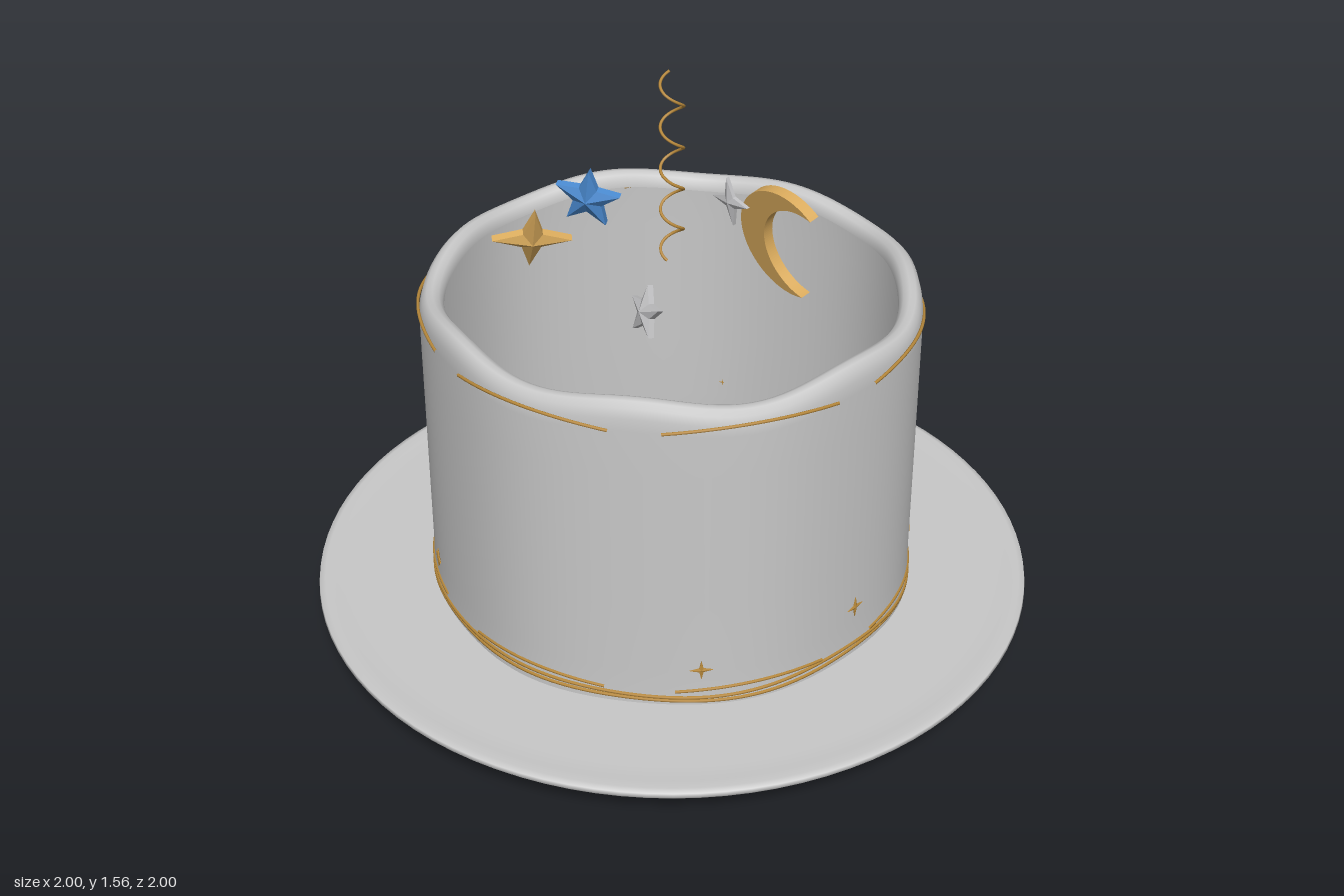
import * as THREE from 'three';
import { mergeVertices } from 'three/addons/utils/BufferGeometryUtils.js';

const mat = (name, color, side = THREE.FrontSide) => {
  const m = new THREE.MeshStandardMaterial({ color, side });
  m.name = name;
  return m;
};

// Plan outline of the cake: nearly round with soft lobes
const LOBES = 7;
const lobe = (a) => Math.cos(LOBES * (a - Math.PI / 2));
const wallRadius = (a, y) => 0.667 - 0.006 * y + 0.005 * lobe(a);

// Faceted star with raised centres on both faces
function starGeometry(points, outer, inner, half) {
  const pos = [];
  const n = points * 2;
  const corner = (i) => {
    const a = Math.PI / 2 + (i % n) * Math.PI / points;
    const r = i % 2 ? inner : outer;
    return [r * Math.cos(a), r * Math.sin(a)];
  };
  const e = half * 0.35;
  for (let i = 0; i < n; i++) {
    const [ax, ay] = corner(i), [bx, by] = corner(i + 1);
    pos.push(0, 0, half, ax, ay, e, bx, by, e);
    pos.push(0, 0, -half, bx, by, -e, ax, ay, -e);
    pos.push(ax, ay, -e, bx, by, -e, bx, by, e);
    pos.push(ax, ay, -e, bx, by, e, ax, ay, e);
  }
  const g = new THREE.BufferGeometry();
  g.setAttribute('position', new THREE.Float32BufferAttribute(pos, 3));
  g.computeVertexNormals();
  return g;
}

export function createModel() {
  const root = new THREE.Group();
  const icing = mat('pale grey icing', 0xc8c8c8, THREE.DoubleSide);
  const plateGrey = mat('plate grey', 0xc8c8c8);
  const gold = mat('gold', 0xd9aa5c);
  const trimGold = mat('trim gold', 0xb98a3c);
  const blue = mat('blue', 0x4a8ad0);
  const silver = mat('silver', 0xc0c0c2);

  const add = (name, geometry, material, p = [0, 0, 0], r = [0, 0, 0]) => {
    const m = new THREE.Mesh(geometry, material);
    m.name = name;
    m.position.set(...p);
    m.rotation.set(r[0], r[1], r[2], 'YXZ');
    root.add(m);
    return m;
  };

  // Plate with a sloping underside and rounded edge
  const plate = [[0, 0], [0.595, 0], [0.605, 0.001], [0.8, 0.033], [0.955, 0.062], [0.985, 0.074],
    [0.998, 0.088], [0.996, 0.099], [0.98, 0.103], [0.95, 0.1], [0.9, 0.097], [0, 0.096]];
  add('plate', new THREE.LatheGeometry(plate.map(([x, y]) => new THREE.Vector2(x, y)), 96), plateGrey);

  // Open cake shell whose wavy rim rolls inward; x is the offset from the wall
  const shell = [[0.003, 0.095], [0.002, 0.12], [0, 0.2], [0, 0.4], [0, 0.6], [0, 0.8], [0, 0.92],
    [-0.002, 0.95], [-0.009, 0.974], [-0.022, 0.988], [-0.038, 0.99], [-0.054, 0.982], [-0.064, 0.968], [-0.066, 0.95]];
  const body = new THREE.LatheGeometry(shell.map(([x, y]) => new THREE.Vector2(1 + x, y)), 140);
  const p = body.attributes.position;
  for (let i = 0; i < p.count; i++) {
    const x = p.getX(i), y = p.getY(i), z = p.getZ(i);
    const a = Math.atan2(z, x);
    const r = wallRadius(a, y) + Math.hypot(x, z) - 1;
    const rim = THREE.MathUtils.smoothstep(y, 0.85, 0.98);
    const wave = -0.011 * lobe(a) - 0.004 * Math.sin(3 * a);
    p.setXYZ(i, r * Math.cos(a), y + rim * wave, r * Math.sin(a));
  }
  body.deleteAttribute('uv');
  body.deleteAttribute('normal');
  const bodyGeo = mergeVertices(body, 1e-4);
  bodyGeo.computeVertexNormals();
  add('cakeShell', bodyGeo, icing);

  // Gold piping that hugs the wall between two angles
  const piping = (name, a0, a1, yAt, radius) => {
    const pts = [];
    const steps = Math.ceil((a1 - a0) / 0.06);
    for (let i = 0; i <= steps; i++) {
      const t = i / steps, a = a0 + (a1 - a0) * t, y = yAt(t, a);
      const r = wallRadius(a, y) + 0.002;
      pts.push(new THREE.Vector3(r * Math.cos(a), y, r * Math.sin(a)));
    }
    add(name, new THREE.TubeGeometry(new THREE.CatmullRomCurve3(pts), steps * 2, radius, 6), trimGold);
  };
  for (let i = 0; i < LOBES; i++) {
    const mid = Math.PI / 2 + i * 2 * Math.PI / LOBES;
    piping('rimPiping', mid - 0.35, mid + 0.35, (t) => 0.926 + 0.019 * Math.sin(Math.PI * t), 0.0045);
    piping('basePipingArc', mid - 0.32, mid + 0.3, (t) => 0.138 + 0.013 * Math.sin(Math.PI * t), 0.0045);
  }
  piping('basePipingUpper', 0, 2 * Math.PI, (t, a) => 0.125 + 0.006 * Math.sin(5 * a), 0.005);
  piping('basePipingLower', 0, 2 * Math.PI, (t, a) => 0.112 + 0.004 * Math.cos(4 * a), 0.005);

  // Small sparkles around the foot of the wall: angle in degrees, height
  const sparkle = starGeometry(4, 0.03, 0.008, 0.004);
  const spots = [[10, 0.25], [50, 0.21], [130, 0.21], [170, 0.25], [210, 0.21], [250, 0.25], [290, 0.25], [330, 0.21]];
  for (const [deg, y] of spots) {
    const a = THREE.MathUtils.degToRad(deg), r = wallRadius(a, y) + 0.003;
    add('sparkle', sparkle, trimGold, [r * Math.cos(a), y, r * Math.sin(a)], [0, Math.PI / 2 - a, 0]);
  }

  // Floating star toppers
  add('blueStar', starGeometry(5, 0.094, 0.042, 0.03), blue, [-0.315, 1.105, -0.065], [0.2, 0.33, -0.12]);
  add('goldStar', starGeometry(4, 0.104, 0.036, 0.028), gold, [-0.28, 1.123, 0.232], [0.42, 0.72, -0.08]);
  add('silverStarFront', starGeometry(5, 0.068, 0.031, 0.022), silver, [0.157, 1.1, 0.35], [-0.25, -0.5, 0.15]);
  add('silverStarBack', starGeometry(4, 0.068, 0.022, 0.014), silver, [0.163, 1.245, -0.025], [0.1, -0.3, 0.1]);

  // Crescent moon
  const moon = new THREE.Shape();
  moon.absarc(0, 0, 0.155, 1.073, 2 * Math.PI - 1.073, false);
  moon.absarc(0.064, 0, 0.1365, 2 * Math.PI - 1.497, 1.497, true);
  const moonGeo = new THREE.ExtrudeGeometry(moon, { depth: 0.03, bevelEnabled: false, curveSegments: 36 });
  moonGeo.translate(0, 0, -0.015);
  add('crescentMoon', moonGeo, gold, [0.326, 1.167, -0.042], [0.19, -0.24, -0.24]);

  // Thin spiral wire in the centre
  const coil = [];
  for (let i = 0; i <= 90; i++) {
    const t = i / 90, a = t * 4.4 * 2 * Math.PI + 1.4;
    coil.push(new THREE.Vector3(0.03 * Math.cos(a), 1.05 + 0.51 * t, 0.03 * Math.sin(a)));
  }
  add('spiralWire', new THREE.TubeGeometry(new THREE.CatmullRomCurve3(coil), 220, 0.004, 6), trimGold);

  return root;
}
